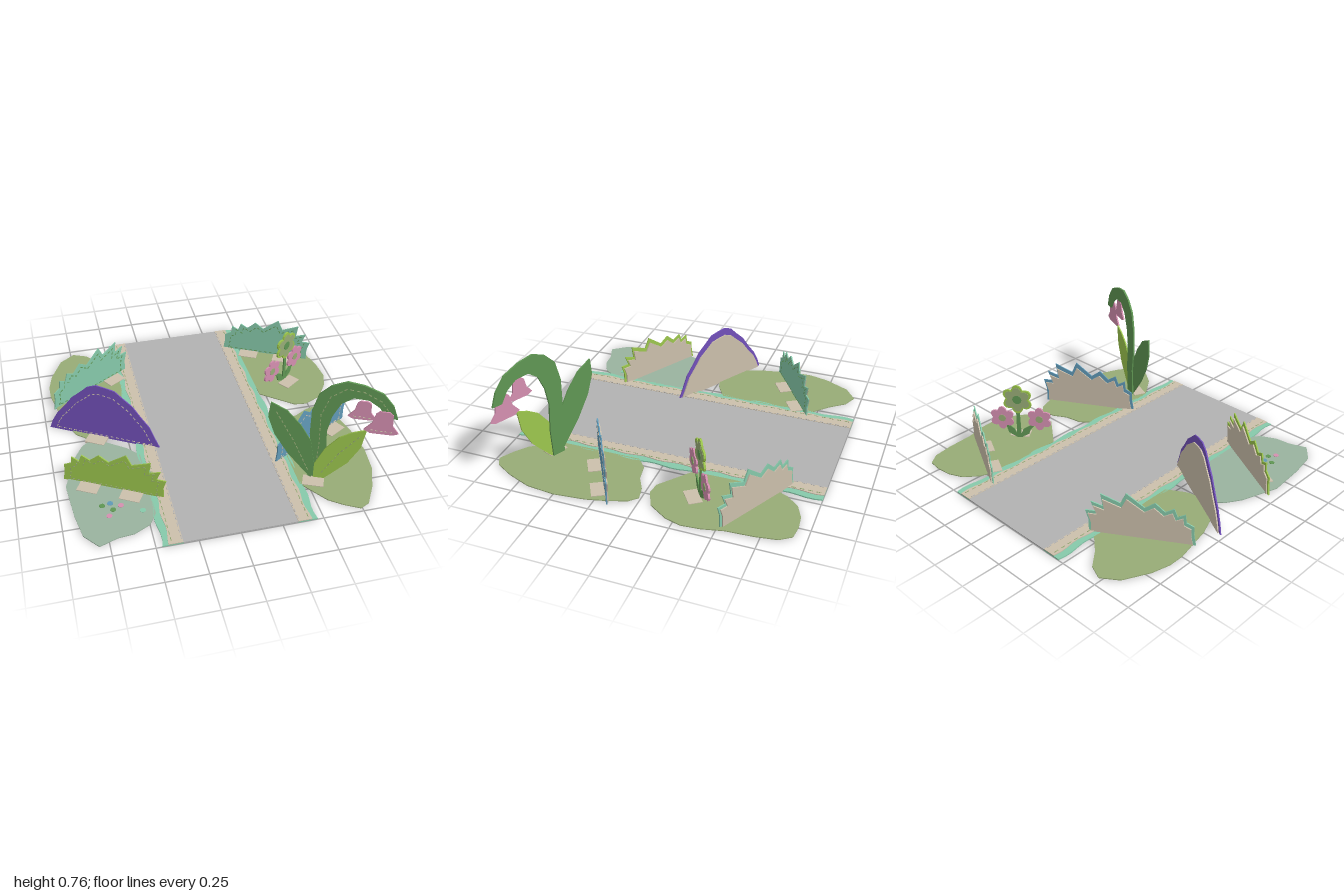
import * as THREE from 'three';
import { mergeGeometries } from 'three/addons/utils/BufferGeometryUtils.js';

const mat = (name, color) => new THREE.MeshStandardMaterial({ name, color });
const M = {
  road: mat('road grey', 0xb2b2b2),
  card: mat('card beige', 0xcbbfab),
  mint: mat('mint felt', 0x86c9aa),
  olive: mat('olive felt', 0x97ab76),
  sage: mat('sage felt', 0x99b39e),
  purple: mat('purple felt', 0x7250ba),
  lime: mat('lime felt', 0x9cc64d),
  blue: mat('blue felt', 0x6099b6),
  leaf: mat('leaf green felt', 0x5f9653),
  pink: mat('pink felt', 0xd48fb0),
};

const toShape = pts => new THREE.Shape(pts.map(([x, y]) => new THREE.Vector2(x, y)));

// Sheet cut from an outline, from z0 to z0 + depth
function sheet(parent, name, pts, material, z0, depth) {
  const geo = new THREE.ExtrudeGeometry(toShape(pts), { depth, bevelEnabled: false });
  geo.translate(0, 0, z0);
  const mesh = new THREE.Mesh(geo, material);
  mesh.name = name;
  parent.add(mesh);
  return mesh;
}

// Sheet lying on the ground, outline given as x, z
function flat(parent, name, pts, material, y0, depth) {
  const mesh = sheet(parent, name, pts.map(([x, z]) => [x, -z]), material, y0, depth);
  mesh.geometry.rotateX(-Math.PI / 2);
  return mesh;
}

// Row of short thread dashes along a polyline
function stitches(parent, pts, material, z, step = 0.035) {
  const path = new THREE.CurvePath();
  const v = pts.map(([x, y]) => new THREE.Vector3(x, y, z));
  for (let i = 1; i < v.length; i++) path.add(new THREE.LineCurve3(v[i - 1], v[i]));
  const n = Math.floor(path.getLength() / step);
  const parts = [];
  for (let i = 0; i < n; i++) {
    const t = (i + 0.5) / n, p = path.getPointAt(t), d = path.getTangentAt(t);
    parts.push(new THREE.BoxGeometry(step * 0.55, 0.005, 0.003)
      .rotateZ(Math.atan2(d.y, d.x)).translate(p.x, p.y, p.z));
  }
  const mesh = new THREE.Mesh(mergeGeometries(parts), material);
  mesh.name = 'stitching';
  parent.add(mesh);
  return mesh;
}

const scaled = (pts, sx, sy, y0 = 0) => pts.map(([x, y]) => [x * sx, y * sy + y0]);

// Standing piece between two ground points, with slotted tabs in front of it
function standing(root, name, [x0, z0], [x1, z1], tabs) {
  const g = new THREE.Group();
  g.name = name;
  g.position.set((x0 + x1) / 2, 0, (z0 + z1) / 2);
  g.rotation.y = -Math.atan2(z1 - z0, x1 - x0);
  const width = Math.hypot(x1 - x0, z1 - z0);
  for (const t of tabs) {
    const tab = new THREE.Mesh(new THREE.BoxGeometry(0.13, 0.012, 0.085), M.card);
    tab.name = 'tab';
    tab.position.set((t - 0.5) * width, 0.006, 0.046);
    g.add(tab);
  }
  root.add(g);
  return { g, width };
}

// Felt front with a smaller card backing and stitched border
function backed(root, name, a, b, tabs, outline, height, material, thread) {
  const { g, width } = standing(root, name, a, b, tabs);
  const pts = outline.map(([u, v]) => [(u - 0.5) * width, v * height]);
  sheet(g, 'felt front', pts, material, 0, 0.008);
  sheet(g, 'card backing', scaled(pts, 0.95, 0.88), M.card, -0.008, 0.008);
  stitches(g, scaled(pts, 0.87, 0.82, 0.012), thread, 0.009);
  stitches(g, [[-width * 0.43, 0.02], [width * 0.43, 0.02]], thread, 0.009);
}

const BUSH = [[0, 0], [0.02, 0.25], [0.02, 0.42], [0.09, 0.5], [0.1, 0.68], [0.17, 0.6], [0.2, 0.78],
  [0.28, 0.68], [0.37, 0.86], [0.46, 0.72], [0.63, 1], [0.68, 0.76], [0.86, 0.92], [0.84, 0.64],
  [0.95, 0.72], [0.91, 0.5], [1, 0.5], [0.97, 0.28], [0.97, 0]];
const MOUND = [[0, 0], [0.03, 0.15], [0.08, 0.32], [0.16, 0.5], [0.23, 0.68], [0.32, 0.83], [0.38, 0.94],
  [0.46, 1], [0.54, 0.98], [0.62, 0.95], [0.69, 0.84], [0.77, 0.72], [0.84, 0.54], [0.91, 0.38], [0.96, 0.16], [1, 0]];

const PADS = [
  ['back left pad', M.olive, [[-0.73, -0.95], [-0.64, -0.91], [-0.56, -0.81], [-0.45, -0.71], [-0.45, -0.09],
    [-0.5, -0.06], [-0.57, -0.02], [-0.66, 0], [-0.75, -0.01], [-0.82, -0.07], [-0.89, -0.25], [-0.94, -0.5],
    [-0.94, -0.6], [-0.91, -0.72], [-0.83, -0.88]]],
  ['back right pad', M.olive, [[0.5, -0.8], [0.57, -0.88], [0.66, -0.92], [0.75, -0.93], [0.84, -0.92],
    [0.89, -0.85], [0.91, -0.72], [0.92, -0.55], [0.95, -0.42], [0.96, -0.3], [0.93, -0.2], [0.85, -0.08],
    [0.74, -0.03], [0.66, -0.04], [0.56, -0.12], [0.46, -0.2], [0.45, -0.68]]],
  ['front left pad', M.sage, [[-0.74, 0.01], [-0.8, 0.06], [-0.86, 0.16], [-0.94, 0.4], [-0.92, 0.65],
    [-0.89, 0.82], [-0.81, 0.92], [-0.7, 0.88], [-0.6, 0.87], [-0.5, 0.82], [-0.45, 0.74], [-0.45, 0.22],
    [-0.52, 0.14], [-0.66, 0.04]]],
  ['front right pad', M.olive, [[0.81, 0.01], [0.72, 0.03], [0.63, 0.08], [0.52, 0.1], [0.45, 0.16], [0.45, 0.7],
    [0.52, 0.8], [0.57, 0.87], [0.65, 0.93], [0.74, 0.98], [0.8, 0.95], [0.87, 0.83], [0.93, 0.68],
    [0.95, 0.5], [0.93, 0.3], [0.9, 0.18], [0.86, 0.06]]],
];

// Outline with rounded petals
function petals(cx, cy, r, n = 6) {
  return Array.from({ length: n * 6 }, (_, i) => {
    const a = (i / (n * 6)) * Math.PI * 2 + Math.PI / 2;
    const k = r * (0.72 + 0.28 * Math.abs(Math.cos((i / 12) * Math.PI * 2)));
    return [cx + k * Math.cos(a), cy + k * Math.sin(a)];
  });
}
const disc = (cx, cy, r) => Array.from({ length: 10 }, (_, i) =>
  [cx + r * Math.cos(i * Math.PI / 5), cy + r * Math.sin(i * Math.PI / 5)]);

function buildRoad(root) {
  const g = new THREE.Group();
  g.name = 'road';
  const paving = new THREE.Mesh(new THREE.BoxGeometry(0.7, 0.007, 2), M.road);
  paving.name = 'paving';
  paving.position.y = 0.0065;
  g.add(paving);
  for (const s of [-1, 1]) {
    // Wavy borders: mint below, beige on top
    const edge = (base, amp, f) => Array.from({ length: 41 }, (_, i) =>
      [s * (base + amp * Math.sin(i * f)), -1 + i / 20]);
    const strip = (name, inner, outer, m, y0, h) =>
      flat(g, name, [[s * inner, 1], [s * inner, -1], ...outer], m, y0, h);
    strip('mint border', 0.34, edge(0.462, 0.008, 1.1), M.mint, 0, 0.008);
    strip('beige border', 0.342, edge(0.422, 0.007, 1.3), M.card, 0.008, 0.005);
    for (const [x, m] of [[0.348, M.road], [0.408, M.olive]]) {
      stitches(g, [[s * x, -0.99], [s * x, 0.99]], m, 0.0135, 0.05).geometry.rotateX(-Math.PI / 2);
    }
  }
  root.add(g);
}

function buildTallPlant(root) {
  const { g, width } = standing(root, 'bell plant', [0.29, 0.54], [0.97, 0.84], [0.39]);
  const fit = pts => pts.map(([x, y]) => [(x - 0.63) * width / 0.68, y]);
  sheet(g, 'arched stem', fit([[0.52, 0], [0.53, 0.2], [0.51, 0.35], [0.51, 0.52], [0.54, 0.65], [0.6, 0.72],
    [0.68, 0.76], [0.77, 0.745], [0.87, 0.7], [0.93, 0.62], [0.96, 0.53], [0.9, 0.53], [0.86, 0.6], [0.8, 0.645],
    [0.72, 0.65], [0.66, 0.6], [0.62, 0.5], [0.6, 0.38], [0.61, 0.2], [0.6, 0]]), M.leaf, -0.006, 0.012);
  stitches(g, fit([[0.56, 0.05], [0.565, 0.3], [0.56, 0.5], [0.6, 0.64], [0.68, 0.71], [0.77, 0.7], [0.86, 0.65],
    [0.91, 0.58]]), M.olive, 0.007);
  sheet(g, 'broad leaf', fit([[0.29, 0.56], [0.38, 0.51], [0.46, 0.41], [0.52, 0.3], [0.55, 0.12], [0.54, 0],
    [0.5, 0.05], [0.4, 0.18], [0.32, 0.32], [0.28, 0.45]]), M.leaf, 0.004, 0.009);
  stitches(g, fit([[0.52, 0.06], [0.43, 0.28], [0.32, 0.5]]), M.olive, 0.014);
  sheet(g, 'lime leaf', fit([[0.55, 0], [0.55, 0.12], [0.6, 0.25], [0.67, 0.35], [0.74, 0.4], [0.81, 0.43],
    [0.79, 0.29], [0.73, 0.16], [0.65, 0.06], [0.6, 0]]), M.lime, 0.004, 0.009);
  stitches(g, fit([[0.59, 0.05], [0.68, 0.23], [0.78, 0.38]]), M.olive, 0.014);
  const bell = [[-0.04, 0.08], [-0.02, 0.1], [0.03, 0.1], [0.05, 0.08], [0.055, 0], [0.09, -0.05], [0.06, -0.065],
    [-0.06, -0.065], [-0.095, -0.045], [-0.055, 0.01]];
  for (const [x, y, s] of [[0.775, 0.56, 0.8], [0.885, 0.48, 1]]) {
    const at = pts => fit(pts.map(([u, v]) => [x + u * s, y + v * s]));
    sheet(g, 'bell flower', at(bell), M.pink, 0.004, 0.01);
    stitches(g, at([[-0.065, -0.04], [0.06, -0.045]]), M.card, 0.015, 0.025);
  }
}

function buildFlowers(root) {
  const { g } = standing(root, 'flower bunch', [0.5, -0.2], [0.84, -0.44], [0.5]);
  const blooms = [[-0.145, 0.16, 0.085, M.pink, M.pink], [0.11, 0.15, 0.085, M.pink, M.pink], [0, 0.3, 0.105, M.lime, M.olive]];
  for (const [x, y, r, rim, face] of blooms) {
    sheet(g, 'stem', [[-0.015, 0], [0.015, 0], [x + 0.01, y], [x - 0.01, y]], M.leaf, -0.004, 0.008);
    sheet(g, 'petals', petals(x, y, r), rim, -0.005, 0.012);
    if (face !== rim) sheet(g, 'inner petals', petals(x, y, r * 0.85), face, -0.007, 0.016);
    sheet(g, 'flower centre', disc(x, y, r * 0.3), face === rim ? M.olive : M.leaf, -0.009, 0.02);
  }
  for (const s of [-1, 1]) {
    sheet(g, 'small leaf', [[0, 0], [s * 0.03, 0.07], [s * 0.09, 0.11], [s * 0.07, 0.04]], M.leaf, -0.004, 0.009);
  }
}

export function createModel() {
  const root = new THREE.Group();
  root.name = 'felt garden path';
  buildRoad(root);
  for (const [name, m, pts] of PADS) flat(root, name, pts, m, 0.002, 0.006);

  // Bushes and mound
  backed(root, 'back left bush', [-0.93, -0.37], [-0.38, -0.71], [0.36, 0.76], BUSH, 0.3, M.mint, M.leaf);
  backed(root, 'back right bush', [0.36, -0.8], [0.92, -0.51], [0.31, 0.7], BUSH, 0.3, M.mint, M.leaf);
  backed(root, 'blue bush', [0.36, 0.48], [0.94, 0.15], [0.39, 0.76], BUSH, 0.33, M.blue, M.card);
  backed(root, 'lime bush', [-0.94, 0.31], [-0.36, 0.63], [0.27, 0.68], BUSH, 0.29, M.lime, M.olive);
  backed(root, 'purple mound', [-0.97, -0.2], [-0.31, 0.18], [0.45], MOUND, 0.42, M.purple, M.card);
  buildTallPlant(root);
  buildFlowers(root);

  // Scattered felt scraps
  const scraps = [[-0.75, 0.61, M.leaf], [-0.7, 0.6, M.blue], [-0.64, 0.63, M.pink], [-0.69, 0.655, M.leaf],
    [-0.72, 0.7, M.pink], [-0.52, 0.7, M.mint]];
  for (const [x, z, m] of scraps) flat(root, 'felt scrap', disc(x, z, 0.018), m, 0.001, 0.009);
  return root;
}
